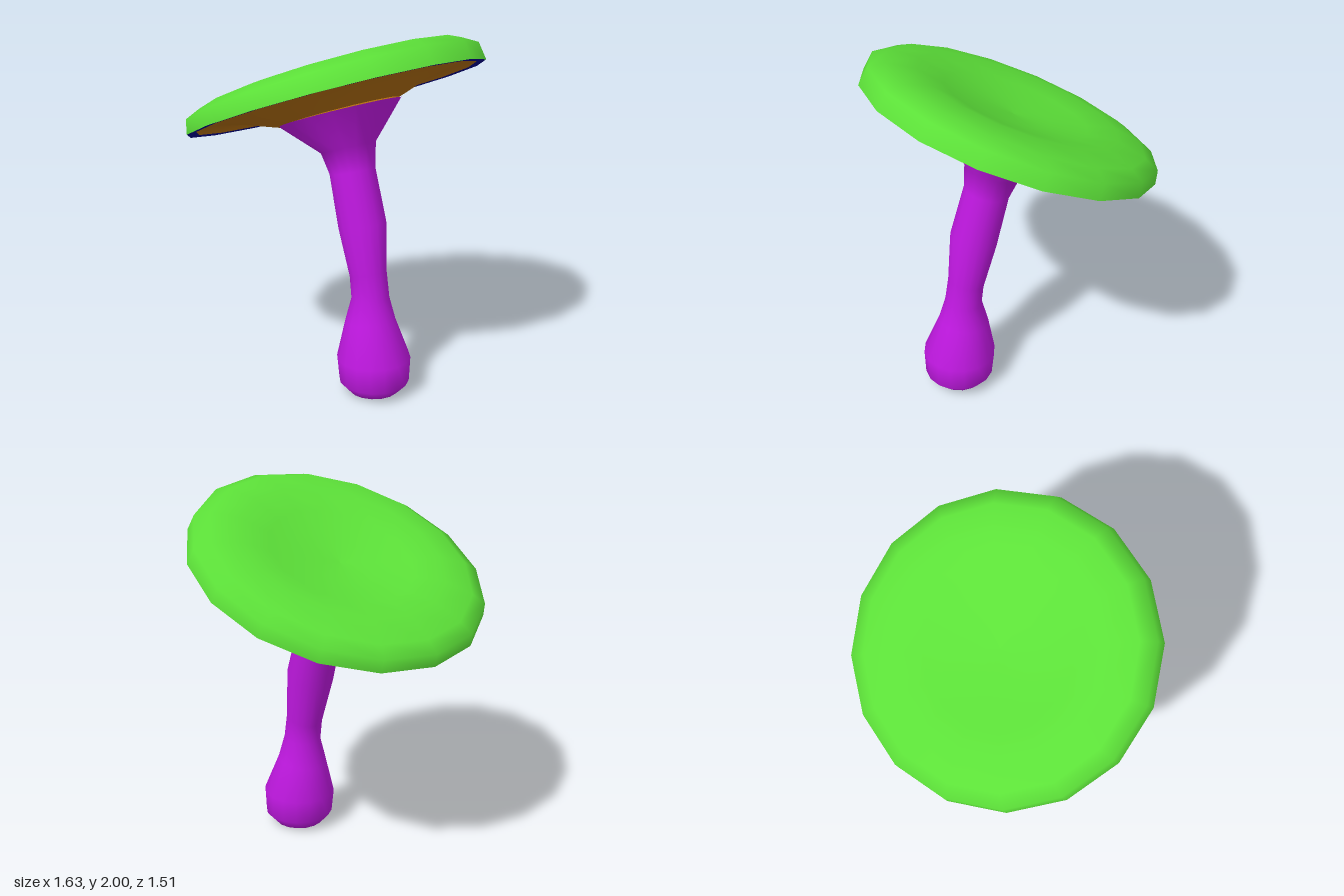
import * as THREE from 'three';

const SIDES = 16;

// Skin through tilted oval rings, each [front z, front y, back z, back y, half width]
function loft(name, color, rings) {
  const pos = [], idx = [];
  rings.forEach(([zf, yf, zb, yb, w], i) => {
    for (let j = 0; j < SIDES; j++) {
      const a = (j / SIDES) * Math.PI * 2, c = Math.cos(a);
      pos.push(w * Math.sin(a), (yf + yb) / 2 + ((yf - yb) / 2) * c, (zf + zb) / 2 + ((zf - zb) / 2) * c);
      if (i === 0) continue;
      const k = (j + 1) % SIDES, lo = (i - 1) * SIDES, hi = i * SIDES;
      idx.push(lo + j, lo + k, hi + j, lo + k, hi + k, hi + j);
    }
  });
  const geo = new THREE.BufferGeometry();
  geo.setAttribute('position', new THREE.Float32BufferAttribute(pos, 3));
  geo.setIndex(idx);
  geo.computeVertexNormals();
  const mesh = new THREE.Mesh(geo, new THREE.MeshStandardMaterial({ color, side: THREE.DoubleSide }));
  mesh.name = name;
  return mesh;
}

// Round ring of the cap: radius, height at the front, height at the back
const disc = (r, yf, yb = yf) => [r, yf, -r, yb, r];

export function createModel() {
  const model = new THREE.Group();
  model.name = 'mushroom';

  // Bent stem with a bulb foot and a flared top
  model.add(loft('stem', 0xbf18e0, [
    [0.335, 0, 0.335, 0, 0],
    [0.47, 0.012, 0.20, 0.008, 0.135],
    [0.525, 0.07, 0.145, 0.07, 0.19],
    [0.53, 0.21, 0.13, 0.20, 0.20],
    [0.435, 0.43, 0.16, 0.39, 0.135],
    [0.40, 0.55, 0.195, 0.53, 0.102],
    [0.375, 0.70, 0.18, 0.64, 0.10],
    [0.35, 0.97, 0.10, 0.90, 0.13],
    [0.26, 1.25, 0.02, 1.18, 0.123],
    [0.25, 1.39, -0.04, 1.28, 0.147],
    [0.345, 1.64, -0.28, 1.385, 0.335],
  ]));

  // Tilted cap: dished top, flat rim band and gills underneath
  const cap = new THREE.Group();
  cap.name = 'cap';
  cap.position.y = 1.575;
  cap.rotation.x = -0.408;
  cap.add(loft('capTop', 0x5ce038, [
    disc(0.815, 0),
    disc(0.80, 0.103, 0.068),
    disc(0.72, 0.152, 0.10),
    disc(0.56, 0.165, 0.135),
    disc(0.40, 0.125, 0.11),
    disc(0.20, 0.085, 0.08),
    disc(0, 0.07),
  ]));
  cap.add(loft('rimBand', 0x00008c, [disc(0.765, 0.003), disc(0.815, 0)]));
  cap.add(loft('gills', 0xb06c10, [
    disc(0.33, -0.07),
    disc(0.51, -0.008),
    disc(0.65, 0.025),
    disc(0.73, 0.03),
    disc(0.765, 0.003),
  ]));
  model.add(cap);
  return model;
}
